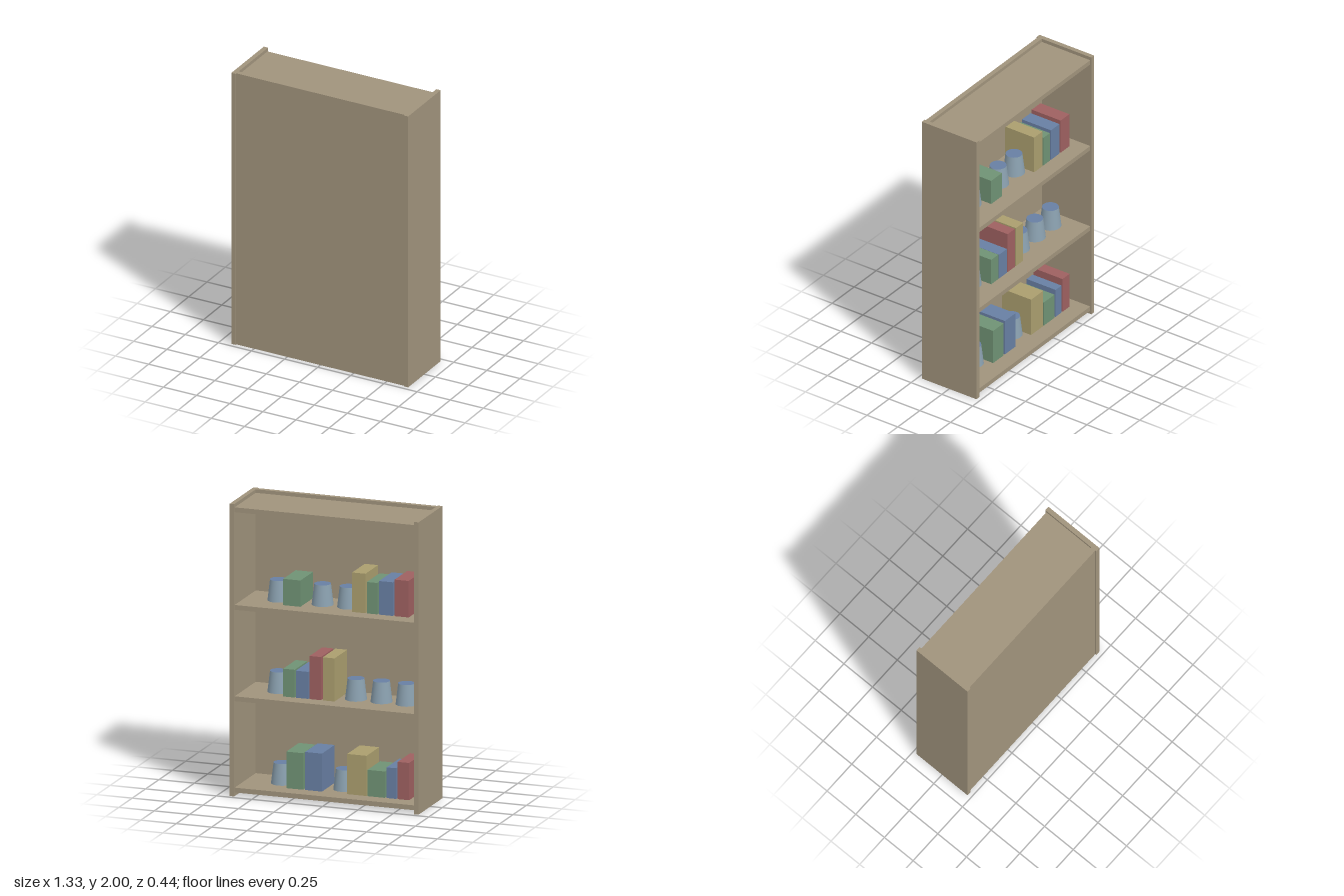
import * as THREE from 'three';

const material = (name, color) => {
  const m = new THREE.MeshStandardMaterial({ color });
  m.name = name;
  return m;
};

export function createModel() {
  const wood = material('wood', 0xa0937c);
  const green = material('green cover', 0x6f9274);
  const blue = material('blue cover', 0x687fa3);
  const red = material('red cover', 0x9e6060);
  const yellow = material('yellow cover', 0xaa9e6e);
  const cupSide = material('cup side', 0x8ba1b0);

  const model = new THREE.Group();
  model.name = 'bookcase';

  // Box from its minimum and maximum corners
  function box(name, mat, [x0, y0, z0], [x1, y1, z1], parent = model) {
    const mesh = new THREE.Mesh(new THREE.BoxGeometry(x1 - x0, y1 - y0, z1 - z0), mat);
    mesh.position.set((x0 + x1) / 2, (y0 + y1) / 2, (z0 + z1) / 2);
    mesh.name = name;
    parent.add(mesh);
  }

  // Carcass: the open side faces -z, the closed panel faces +z
  const inner = 0.635, outer = 0.667, thick = 0.033;
  box('leftSide', wood, [inner, 0, -0.222], [outer, 2, 0.222]);
  box('rightSide', wood, [-outer, 0, -0.222], [-inner, 2, 0.222]);
  box('closedPanel', wood, [-inner, 0, 0.18], [inner, 2, 0.213]);
  const shelfBottoms = [0.025, 0.65, 1.275, 1.943];
  shelfBottoms.forEach((y, i) => box(i === 3 ? 'topBoard' : 'shelf', wood,
    [-inner, y, -0.213], [inner, y + thick, 0.18]));

  // Contents per shelf: cups as x; books as [colour, x from, x to, height]
  const contents = [
    {
      cups: [0.385, -0.055],
      books: [[green, 0.312, 0.193, 0.25], [blue, 0.179, 0.06, 0.26], [yellow, -0.118, -0.255, 0.275],
        [green, -0.262, -0.384, 0.18], [blue, -0.396, -0.464, 0.21], [red, -0.474, -0.555, 0.255]],
    },
    {
      cups: [0.41, -0.138, -0.318, -0.495],
      books: [[green, 0.334, 0.253, 0.19], [blue, 0.245, 0.156, 0.185], [red, 0.147, 0.067, 0.295],
        [yellow, 0.054, -0.029, 0.295]],
    },
    {
      cups: [0.41, 0.098, -0.082],
      books: [[green, 0.334, 0.212, 0.18], [yellow, -0.153, -0.247, 0.27], [green, -0.257, -0.331, 0.215],
        [blue, -0.343, -0.44, 0.23], [red, -0.453, -0.552, 0.25]],
    },
  ];

  // Upturned tapered cup with a blue cap face
  const cupHeight = 0.143;
  const cupGeometry = new THREE.CylinderGeometry(0.056, 0.073, cupHeight, 24);

  contents.forEach(({ cups, books }, i) => {
    const y = shelfBottoms[i] + thick;
    const row = new THREE.Group();
    row.name = 'shelfContents';
    model.add(row);
    for (const [mat, x1, x0, h] of books) box('book', mat, [x0, y, -0.103], [x1, y + h, 0.132], row);
    for (const x of cups) {
      const cup = new THREE.Mesh(cupGeometry, [cupSide, blue, cupSide]);
      cup.position.set(x, y + cupHeight / 2, 0.01);
      cup.name = 'cup';
      row.add(cup);
    }
  });

  return model;
}
